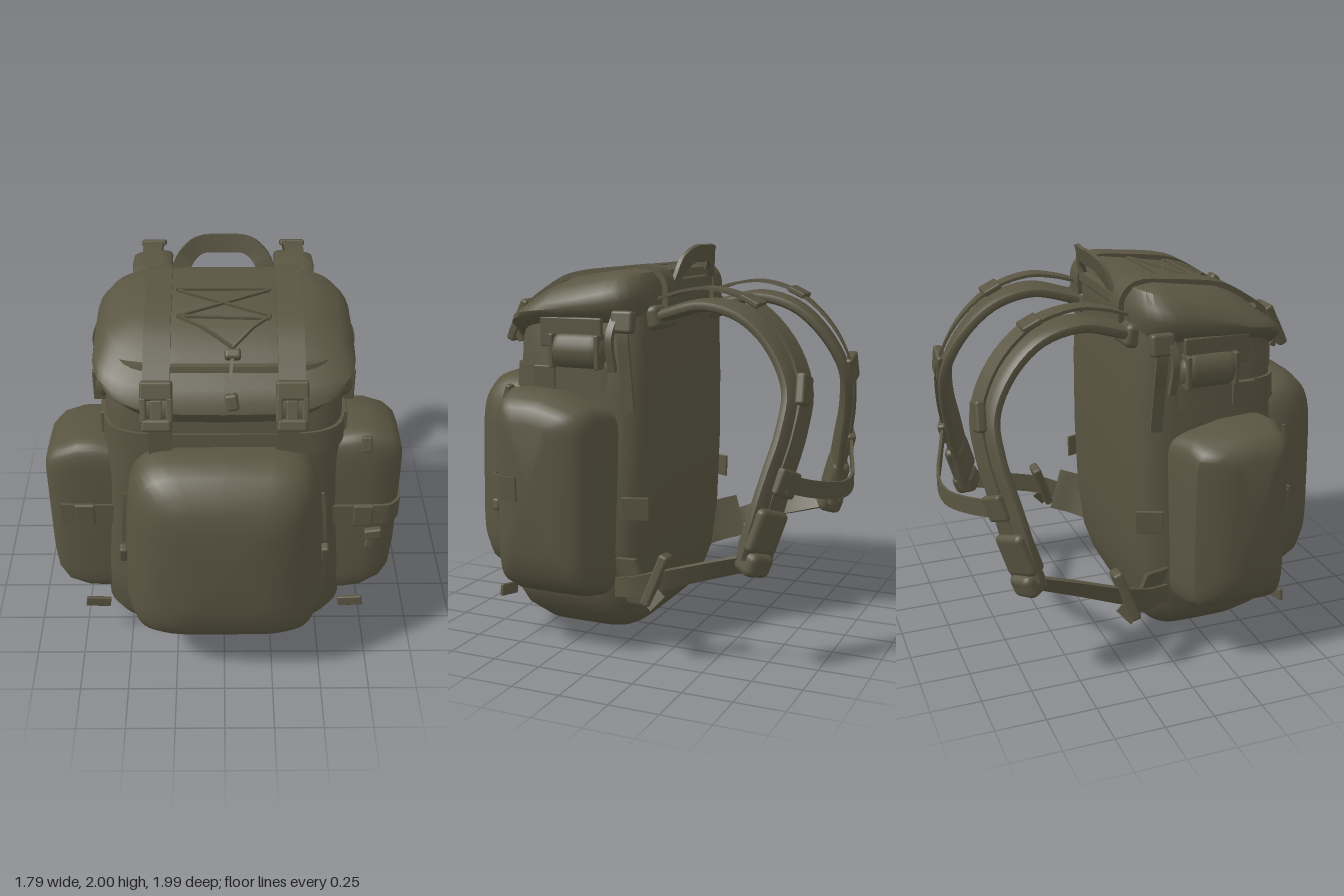
import * as THREE from 'three';
import { toCreasedNormals } from 'three/addons/utils/BufferGeometryUtils.js';
import { RoundedBoxGeometry } from 'three/addons/geometries/RoundedBoxGeometry.js';

const V = (x, y, z) => new THREE.Vector3(x, y, z);

export function createModel() {
  const model = new THREE.Group();
  model.name = 'backpack';
  const canvas = new THREE.MeshStandardMaterial({ color: 0x5a5542 });
  canvas.name = 'olive canvas';

  const add = (name, geo, parent = model) => {
    const mesh = new THREE.Mesh(geo, canvas);
    mesh.name = name;
    parent.add(mesh);
    return mesh;
  };

  // Closed skin over equal-sized loops of points, capped at both ends
  function skin(loops, crease) {
    const n = loops[0].length, pos = [], idx = [];
    const centre = (l) => l.reduce((s, p) => s.add(p), V(0, 0, 0)).divideScalar(n);
    loops.forEach((l) => l.forEach((p) => pos.push(p.x, p.y, p.z)));
    const end = loops.length - 1, c0 = loops.length * n;
    [centre(loops[0]), centre(loops[end])].forEach((p) => pos.push(p.x, p.y, p.z));
    for (let j = 0; j < n; j++) {
      const k = (j + 1) % n;
      for (let i = 0; i < end; i++) {
        const a = i * n + j, b = i * n + k;
        idx.push(a, b, a + n, b, b + n, a + n);
      }
      idx.push(c0, k, j, c0 + 1, end * n + j, end * n + k);
    }
    const g = new THREE.BufferGeometry();
    g.setAttribute('position', new THREE.Float32BufferAttribute(pos, 3));
    g.setIndex(idx);
    return toCreasedNormals(g, crease);
  }

  // Rounded-rectangle outline in unit size
  const outline = (count, power) => Array.from({ length: count }, (_, i) => {
    const t = (i / count) * Math.PI * 2;
    const f = (v) => Math.sign(v) * Math.abs(v) ** (2 / power);
    return [f(Math.cos(t)), f(Math.sin(t))];
  });

  // Loft along an axis; each ring is [t, aMin, aMax, bMin, bMax, tilt]
  function loft(axis, rings, power = 5, warp = (p) => p) {
    const place = {
      x: (a, b, t) => V(t, a, b),
      y: (a, b, t) => V(b, t, a),
      z: (a, b, t) => V(a, b, t),
    }[axis];
    return skin(rings.map(([t, a0, a1, b0, b1, tilt = 0]) => outline(40, power).map(([u, v]) => {
      const da = (u * (a1 - a0)) / 2;
      return warp(place((a0 + a1) / 2 + da, (b0 + b1) / 2 + (v * (b1 - b0)) / 2, t + tilt * da));
    })), 0.75);
  }

  // Strap swept along points; its width direction turns from d0 to d1
  function strap(points, width, thick, d0, d1 = d0, steps = 24, round = false) {
    const curve = new THREE.CatmullRomCurve3(points.map((p) => V(...p)), false, 'centripetal');
    const shape = round ? outline(16, 3) : [[1, -1], [1, 1], [-1, 1], [-1, -1]];
    const loops = [];
    for (let i = 0; i <= steps; i++) {
      const t = i / steps, p = curve.getPoint(t), T = curve.getTangent(t);
      const N = T.clone().cross(V(...d0).lerp(V(...d1), t)).normalize();
      const W = N.clone().cross(T);
      loops.push(shape.map(([u, v]) => p.clone()
        .addScaledVector(W, (u * width) / 2).addScaledVector(N, (v * thick) / 2)));
    }
    return skin(loops, 0.7);
  }

  function block(name, size, at, rot = [0, 0, 0], parent = model) {
    const r = Math.min(...size) * 0.3;
    const m = add(name, new RoundedBoxGeometry(...size, 2, r), parent);
    m.position.set(...at);
    m.rotation.set(...rot);
    return m;
  }

  // Main sack
  add('mainBody', loft('y', [
    [0, 0.08, 0.4, -0.32, 0.32], [0.05, 0, 0.55, -0.47, 0.47],
    [0.14, -0.05, 0.64, -0.57, 0.57], [0.25, -0.085, 0.69, -0.62, 0.62],
    [0.5, -0.12, 0.68, -0.62, 0.62], [0.9, -0.14, 0.66, -0.6, 0.6],
    [1.3, -0.145, 0.66, -0.58, 0.58], [1.55, -0.14, 0.64, -0.565, 0.565],
    [1.74, -0.13, 0.58, -0.53, 0.53]]));
  add('upperBand', loft('y', [
    [1.29, -0.06, 0.668, -0.588, 0.588], [1.41, -0.06, 0.66, -0.583, 0.583]]));

  // Sloping lid, gathered in at the hem and lifted at the sides
  add('lid', loft('y', [
    [1.56, -0.1, 0.66, -0.53, 0.53, -0.12], [1.55, -0.12, 0.685, -0.565, 0.565, -0.12],
    [1.63, -0.135, 0.715, -0.61, 0.61, -0.15], [1.69, -0.135, 0.695, -0.622, 0.622, -0.17],
    [1.74, -0.13, 0.655, -0.612, 0.612, -0.2], [1.82, -0.1, 0.52, -0.55, 0.55, -0.18],
    [1.865, -0.03, 0.4, -0.42, 0.42, -0.14]], 4,
  (p) => V(p.x, p.y + 0.1 * (p.x / 0.6) ** 4 * (Math.max(0, 1.75 - p.y) / 0.2) ** 2, p.z)));

  // Front pocket, slightly narrower towards the top
  add('frontPocket', loft('z', [
    [0.58, -0.46, 0.46, 0.27, 1.31], [0.66, -0.49, 0.49, 0.24, 1.34],
    [0.77, -0.485, 0.485, 0.24, 1.34], [0.86, -0.45, 0.45, 0.27, 1.31],
    [0.925, -0.39, 0.39, 0.33, 1.25], [0.968, -0.31, 0.31, 0.42, 1.17],
    [0.99, -0.19, 0.19, 0.55, 1.05]], 5.5,
  (p) => V(p.x * (1 - 0.1 * (p.y - 0.7)), p.y, p.z)));

  // Boxy side pockets whose tops drop and backs flare towards the sack
  const slump = (p) => V(p.x, p.y - Math.max(0, p.y - 1) * Math.max(0, 0.35 - p.z), p.z);
  add('leftSidePocket', loft('x', [
    [0.48, 0.28, 1.28, -0.02, 0.57], [0.62, 0.26, 1.31, 0.03, 0.58],
    [0.72, 0.28, 1.32, 0.055, 0.58], [0.82, 0.34, 1.28, 0.075, 0.565],
    [0.865, 0.4, 1.24, 0.13, 0.53], [0.885, 0.52, 1.16, 0.24, 0.48]], 8, slump));
  add('rightSidePocket', loft('x', [
    [-0.89, 0.48, 1.1, 0.26, 0.48], [-0.87, 0.39, 1.17, 0.16, 0.53],
    [-0.82, 0.32, 1.21, 0.075, 0.56], [-0.72, 0.28, 1.25, 0.055, 0.57],
    [-0.6, 0.27, 1.24, 0.03, 0.57], [-0.48, 0.28, 1.22, -0.02, 0.56]], 8, slump));

  // Carry handle
  add('carryHandle', strap([[-0.23, 1.8, -0.13], [-0.185, 1.9, -0.16], [-0.12, 1.95, -0.19],
    [0, 1.955, -0.2], [0.12, 1.95, -0.19], [0.185, 1.9, -0.16], [0.23, 1.8, -0.13]], 0.09, 0.02,
  [0, 0.9, -0.25]));
  block('handleAnchor', [0.5, 0.07, 0.05], [0, 1.8, -0.125]);

  // Chest strap
  add('chestStrap', strap([[-0.58, 0.92, -0.85], [-0.35, 0.85, -0.92], [-0.1, 0.8, -0.985],
    [0.1, 0.8, -0.985], [0.35, 0.85, -0.92], [0.58, 0.92, -0.85]], 0.085, 0.015, [0, 1, 0]));

  for (const s of [1, -1]) {
    const side = s > 0 ? 'left' : 'right';
    const m = (pts) => pts.map(([x, y, z]) => [s * x, y, z]);
    const X = [1, 0, 0], Y = [0, 1, 0];

    // Lid strap with its buckle and lower webbing
    add(side + 'LidStrap', strap(m([[0.31, 1.7, -0.14], [0.31, 1.82, -0.135], [0.31, 1.885, -0.07],
      [0.31, 1.88, 0.12], [0.31, 1.843, 0.385], [0.31, 1.776, 0.515], [0.31, 1.675, 0.65],
      [0.31, 1.575, 0.715], [0.31, 1.5, 0.685]]), 0.125, 0.028, X, X, 32));
    add(side + 'LowerLidStrap', strap(m([[0.3, 1.54, 0.67], [0.3, 1.3, 0.672]]), 0.11, 0.02, X, X, 2));
    const buckle = new THREE.Group();
    buckle.name = side + 'LidBuckle';
    buckle.position.set(s * 0.31, 1.61, 0.7);
    buckle.rotation.x = -0.45;
    model.add(buckle);
    block('buckleTop', [0.15, 0.09, 0.045], [0, 0.07, 0], [0, 0, 0], buckle);
    block('buckleBase', [0.14, 0.06, 0.05], [0, -0.09, 0], [0, 0, 0], buckle);
    block('buckleTongue', [0.06, 0.1, 0.035], [0, -0.02, 0], [0, 0, 0], buckle);
    for (const k of [-1, 1]) block('buckleProng', [0.03, 0.12, 0.045], [k * 0.06, -0.02, 0], [0, 0, 0], buckle);

    // Padded shoulder strap and webbing along its outer face
    const pad = [[0.35, 1.64, -0.08], [0.36, 1.68, -0.2], [0.37, 1.72, -0.38], [0.375, 1.67, -0.58],
      [0.39, 1.53, -0.74], [0.43, 1.34, -0.84], [0.5, 1.15, -0.84], [0.57, 0.95, -0.8],
      [0.62, 0.78, -0.765], [0.65, 0.56, -0.72]];
    const twist = [0.85, 0, s * 0.5];
    add(side + 'ShoulderPad', strap(m(pad), 0.21, 0.065, X, twist, 40, true));
    add(side + 'ShoulderWebbing', strap(m([[0.35, 1.74, -0.1], [0.36, 1.785, -0.25], [0.37, 1.8, -0.4],
      [0.37, 1.74, -0.6], [0.39, 1.57, -0.785], [0.43, 1.35, -0.885], [0.5, 1.15, -0.88],
      [0.57, 0.95, -0.84], [0.62, 0.75, -0.795]]), 0.1, 0.015, X, twist, 36));
    block(side + 'StrapAnchor', [0.24, 0.12, 0.1], [s * 0.35, 1.65, -0.1], [0.2, 0, 0]);
    block(side + 'LoadBuckle', [0.13, 0.03, 0.1], [s * 0.37, 1.745, -0.6], [-0.45, 0, 0]);
    block(side + 'ShoulderBuckle', [0.14, 0.15, 0.05], [s * 0.44, 1.34, -0.88], [0.05, 0, s * 0.3]);
    block(side + 'ChestBuckle', [0.14, 0.13, 0.05], [s * 0.57, 0.92, -0.84], [-0.15, s * -0.45, s * 0.3]);
    block(side + 'PadEnd', [0.19, 0.22, 0.1], [s * 0.635, 0.7, -0.755], [-0.2, s * -0.5, s * 0.2]);
    block(side + 'PadEndBuckle', [0.15, 0.12, 0.13], [s * 0.66, 0.55, -0.72], [-0.3, s * -0.5, 0.1 * s]);

    // Lower adjusting strap, buckle and sewn wing
    add(side + 'LowerWebbing', strap(m([[0.67, 0.55, -0.7], [0.69, 0.49, -0.5], [0.72, 0.42, -0.27],
      [0.68, 0.36, -0.12], [0.58, 0.3, 0.05]]), 0.1, 0.018, [s * 0.6, 1, 0], Y));
    block(side + 'LowerBuckle', [0.1, 0.27, 0.05], [s * 0.72, 0.42, -0.25], [-0.35, 0, s * 0.15]);
    add(side + 'WebbingTail', strap(m([[0.74, 0.35, -0.22], [0.75, 0.31, -0.27]]), 0.1, 0.015, [0, 0.2, 1], [0, 0.2, 1], 4));
    add(side + 'Wing', strap(m([[0.5, 0.32, 0.08], [0.62, 0.36, -0.05], [0.69, 0.39, -0.17]]), 0.24, 0.02,
      [0, 1, 0.4], [0, 0.4, 0.25], 10));
    block(side + 'BottomTab', [0.13, 0.06, 0.02], [s * 0.67, 0.245, 0.61], [0, s * -0.1, s * 0.15]);
    block(side + 'BackPatch', [0.015, 0.12, 0.14], [s * 0.57, 0.715, -0.065], [0, s * 0.38, 0]);

    // Rolled pouch with its flap and end ties
    block(side + 'RollFlap', [0.03, 0.15, 0.34], [s * 0.58, 1.58, 0.27]);
    const roll = add(side + 'RolledPouch', new THREE.CapsuleGeometry(0.075, 0.17, 6, 14));
    roll.rotation.x = Math.PI / 2;
    roll.position.set(s * 0.58, 1.49, 0.235);
    roll.scale.set(0.8, 1, 1.15);
    for (const z of [0.11, 0.36]) block(side + 'RollTie', [0.11, 0.17, 0.025], [s * 0.58, 1.49, z]);

    // Side compression strap hanging from under the lid
    add(side + 'CompressionStrap', strap(m([[0.57, 1.68, -0.02], [0.6, 1.6, -0.02], [0.59, 1.4, -0.03],
      [0.58, 1.2, -0.04]]), 0.06, 0.015, [0, 0, 1]));
    block(side + 'CompressionBuckle', [0.06, 0.11, 0.12], [s * 0.595, 1.64, -0.02], [0, 0, s * 0.15]);
    add(side + 'HangingLoop', strap(m([[0.6, 1.66, 0.02], [0.645, 1.56, 0.03], [0.63, 1.4, 0.02]]), 0.035, 0.03, [0, 0, 1]));
    block(side + 'BandTab', [0.02, 0.12, 0.12], [s * 0.585, 1.35, 0.42]);

    // Zip pull beside the front pocket
    add(side + 'ZipCord', strap(m([[0.475, 1.1, 0.72], [0.49, 0.95, 0.73], [0.5, 0.8, 0.73]]), 0.015, 0.015, [0, 0, 1]));
    block(side + 'ZipPull', [0.04, 0.1, 0.05], [s * 0.505, 0.72, 0.73], [0.2, 0, s * 0.1]);
  }

  // Side pocket bands; the left one wraps round the corner
  add('leftPocketBand', strap([[0.54, 0.84, 0.585], [0.75, 0.84, 0.584], [0.835, 0.84, 0.573],
    [0.88, 0.84, 0.525], [0.892, 0.84, 0.47], [0.892, 0.84, 0.42]], 0.12, 0.014, [0, 1, 0]));
  add('rightPocketBand', strap([[-0.54, 0.84, 0.573], [-0.72, 0.84, 0.574], [-0.82, 0.84, 0.566]], 0.12, 0.014, [0, 1, 0]));
  block('leftBandKeeper', [0.1, 0.13, 0.03], [0.7, 0.84, 0.588]);
  block('rightBandKeeper', [0.1, 0.13, 0.03], [-0.7, 0.84, 0.576]);

  // Clip and zip tab on the left side pocket
  block('clipBody', [0.09, 0.06, 0.04], [0.76, 0.72, 0.595], [0, 0, 0.15]);
  block('clipTail', [0.04, 0.11, 0.03], [0.75, 0.68, 0.595], [0, 0, -0.2]);
  block('pocketZipTab', [0.05, 0.08, 0.03], [0.69, 1.28, 0.57], [-0.3, 0, 0]);

  // Crossed lid lacing and cord locks
  const lidY = (z) => 1.895 - 0.14 * z - 0.45 * Math.max(0, z - 0.4);
  const cords = [
    [[-0.23, 0.12], [0.23, 0.12]], [[-0.22, 0.13], [0.22, 0.32]], [[0.22, 0.13], [-0.22, 0.32]],
    [[-0.22, 0.32], [0.04, 0.49]], [[0.22, 0.32], [0.04, 0.49]], [[-0.22, 0.32], [0.22, 0.34]]];
  for (const [a, b] of cords) {
    const pts = [0, 0.5, 1].map((t) => {
      const z = a[1] + (b[1] - a[1]) * t;
      return [a[0] + (b[0] - a[0]) * t, lidY(z), z];
    });
    add('lidCord', strap(pts, 0.016, 0.014, [0, 1, 0], [0, 1, 0], 8));
  }
  block('cordLock', [0.075, 0.05, 0.05], [0.04, 1.775, 0.53], [0.6, 0, 0]);
  add('cordTail', strap([[0.04, 1.78, 0.53], [0.03, 1.715, 0.62], [0.035, 1.65, 0.69]], 0.015, 0.015, [1, 0, 0]));
  block('cordPull', [0.06, 0.08, 0.05], [0.035, 1.63, 0.7], [-0.35, 0, 0.15]);

  return model;
}
